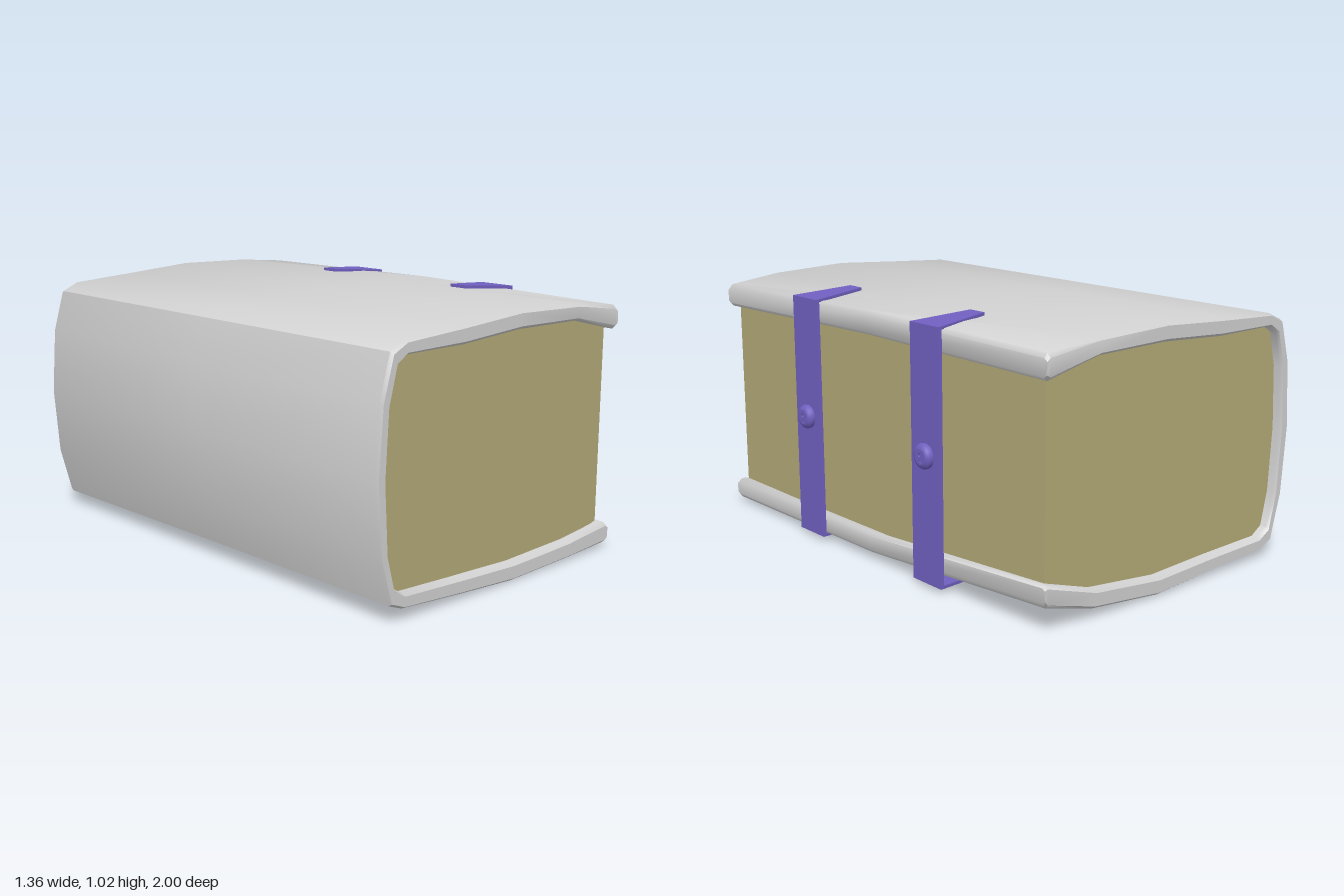
import * as THREE from 'three';
import { toCreasedNormals } from 'three/addons/utils/BufferGeometryUtils.js';

const material = (name, color, side = THREE.FrontSide) => {
  const m = new THREE.MeshStandardMaterial({ color, side });
  m.name = name;
  return m;
};

// Cover profile, bottom lip -> spine -> top lip:
// outer x, outer y, inner x, inner y, y shift at mid length, y shift at the back
const PROFILE = [
  [0.633, 0.04, 0.633, 0.095, 0.01, 0.09],
  [0.62, 0.024, 0.62, 0.11, 0.01, 0.085],
  [0.39, 0.014, 0.38, 0.085, 0.02, 0.03],
  [0.05, 0.005, 0.05, 0.076, 0.027, 0],
  [-0.25, 0.026, -0.25, 0.09, 0.012, -0.005],
  [-0.54, 0.05, -0.535, 0.105, -0.005, -0.017],
  [-0.605, 0.075, -0.587, 0.135, -0.005, -0.015],
  [-0.657, 0.25, -0.62, 0.26, 0, 0],
  [-0.679, 0.525, -0.634, 0.52, 0, 0],
  [-0.658, 0.79, -0.62, 0.77, 0, 0],
  [-0.61, 0.955, -0.585, 0.905, 0, 0],
  [-0.54, 0.987, -0.54, 0.936, 0, 0],
  [-0.25, 1.005, -0.25, 0.936, -0.006, 0],
  [0.05, 1.025, 0.05, 0.955, -0.012, 0],
  [0.39, 1.013, 0.38, 0.95, -0.005, 0.002],
  [0.62, 0.986, 0.62, 0.892, 0.018, 0.007],
  [0.633, 0.97, 0.633, 0.905, 0.018, 0.007],
];

// Cover: closed C-shaped section swept along z with softened ends
function coverGeometry() {
  const stations = [[-1, 0.16], [-0.985, 0], [0, 0], [0.985, 0], [1, 0.16]];
  const n = PROFILE.length, ring = n * 2;
  const positions = [], index = [];
  for (const [z, inset] of stations) {
    const outer = [], inner = [];
    for (const [ox, oy, ix, iy, mid, back] of PROFILE) {
      const shift = z > 0 ? mid * (1 - z) : mid + (back - mid) * -z;
      const o = new THREE.Vector3(ox, oy + shift, z), i = new THREE.Vector3(ix, iy + shift, z);
      outer.push(o.clone().lerp(i, inset));
      inner.unshift(i.clone().lerp(o, inset));
    }
    for (const p of [...outer, ...inner]) positions.push(p.x, p.y, p.z);
  }
  for (let s = 0; s < stations.length - 1; s++) {
    for (let j = 0; j < ring; j++) {
      const k = (j + 1) % ring;
      const a = s * ring + j, b = s * ring + k, c = a + ring, d = b + ring;
      index.push(a, c, d, a, d, b);
    }
  }
  const last = (stations.length - 1) * ring;
  for (let i = 0; i < n - 1; i++) {
    const o = i, p = i + 1, q = ring - 1 - i, r = ring - 2 - i;
    index.push(last + o, last + q, last + r, last + o, last + r, last + p);
    index.push(o, r, q, o, p, r);
  }
  const g = new THREE.BufferGeometry();
  g.setAttribute('position', new THREE.Float32BufferAttribute(positions, 3));
  g.setIndex(index);
  return toCreasedNormals(g, 0.82);
}

// Page block: fills the cover, with a flat fore edge
function pagesGeometry() {
  const pts = [[0.6, 0.113]];
  for (const [ox, oy, ix, iy] of PROFILE.slice(2, -2)) {
    pts.push([ix * 0.7 + ox * 0.3, iy * 0.7 + oy * 0.3]);
  }
  pts.push([0.6, 0.925]);
  const shape = new THREE.Shape(pts.map(([x, y]) => new THREE.Vector2(x, y)));
  const g = new THREE.ExtrudeGeometry(shape, { depth: 1.92, bevelEnabled: false });
  return g.translate(0, 0, -0.96);
}

// Tapered tab lying on the cover; the outer end sits at x = 0.65
function tabGeometry(yEdge, yTip) {
  const g = new THREE.BoxGeometry(0.25, 0.012, 0.165);
  const p = g.attributes.position;
  for (let i = 0; i < p.count; i++) {
    const tip = p.getX(i) < 0;
    p.setXYZ(i, tip ? 0.4 : 0.65, p.getY(i) + (tip ? yTip : yEdge), p.getZ(i) * (tip ? 0.48 : 1));
  }
  g.computeVertexNormals();
  return g;
}

// Round face with a keyhole cut through it
function keyholeFace(radius) {
  const shape = new THREE.Shape().absarc(0, 0, radius, 0, Math.PI * 2, false);
  const hole = new THREE.Path();
  hole.absarc(0, 0.006, 0.01, -Math.PI * 0.3, Math.PI * 1.3, false);
  hole.lineTo(-0.008, -0.022);
  hole.lineTo(0.008, -0.022);
  hole.closePath();
  shape.holes.push(hole);
  return new THREE.ExtrudeGeometry(shape, { depth: 0.008, bevelEnabled: false, curveSegments: 12 });
}

export function createModel() {
  const model = new THREE.Group();
  model.name = 'book';
  const coverMat = material('cover grey', 0xd0d0d0);
  const pageMat = material('page tan', 0xb3a976);
  const claspMat = material('clasp purple', 0x7060c0);
  const buttonMat = material('clasp purple', 0x7060c0);
  buttonMat.dispose();

  const add = (parent, name, geometry, mat) => {
    const mesh = new THREE.Mesh(geometry, mat);
    mesh.name = name;
    parent.add(mesh);
    return mesh;
  };

  add(model, 'cover', coverGeometry(), coverMat);
  add(model, 'pages', pagesGeometry(), pageMat);

  // Two clasps wrapping the fore edge
  const rim = [[0.048, 0], [0.049, 0.012], [0.044, 0.021], [0.032, 0.028], [0.028, 0.028]];
  for (const [name, z] of [['frontClasp', 0.38], ['backClasp', -0.382]]) {
    const clasp = new THREE.Group();
    clasp.name = name;
    clasp.position.z = z;
    model.add(clasp);

    add(clasp, 'strap', new THREE.BoxGeometry(0.014, 0.978, 0.165), claspMat).position.set(0.643, 0.514, 0);
    add(clasp, 'topTab', tabGeometry(1.0, 1.019), claspMat);
    add(clasp, 'bottomTab', tabGeometry(0.03, 0.014), claspMat);

    const lock = new THREE.Group();
    lock.name = 'lock';
    lock.position.set(0.65, 0.52, 0);
    clasp.add(lock);
    const dome = new THREE.LatheGeometry(rim.map(([r, y]) => new THREE.Vector2(r, y)), 24);
    add(lock, 'lockRim', dome, claspMat).rotation.z = -Math.PI / 2;
    const face = add(lock, 'keyholeFace', keyholeFace(0.03), claspMat);
    face.rotation.y = Math.PI / 2;
    face.position.x = 0.02;
  }
  return model;
}
